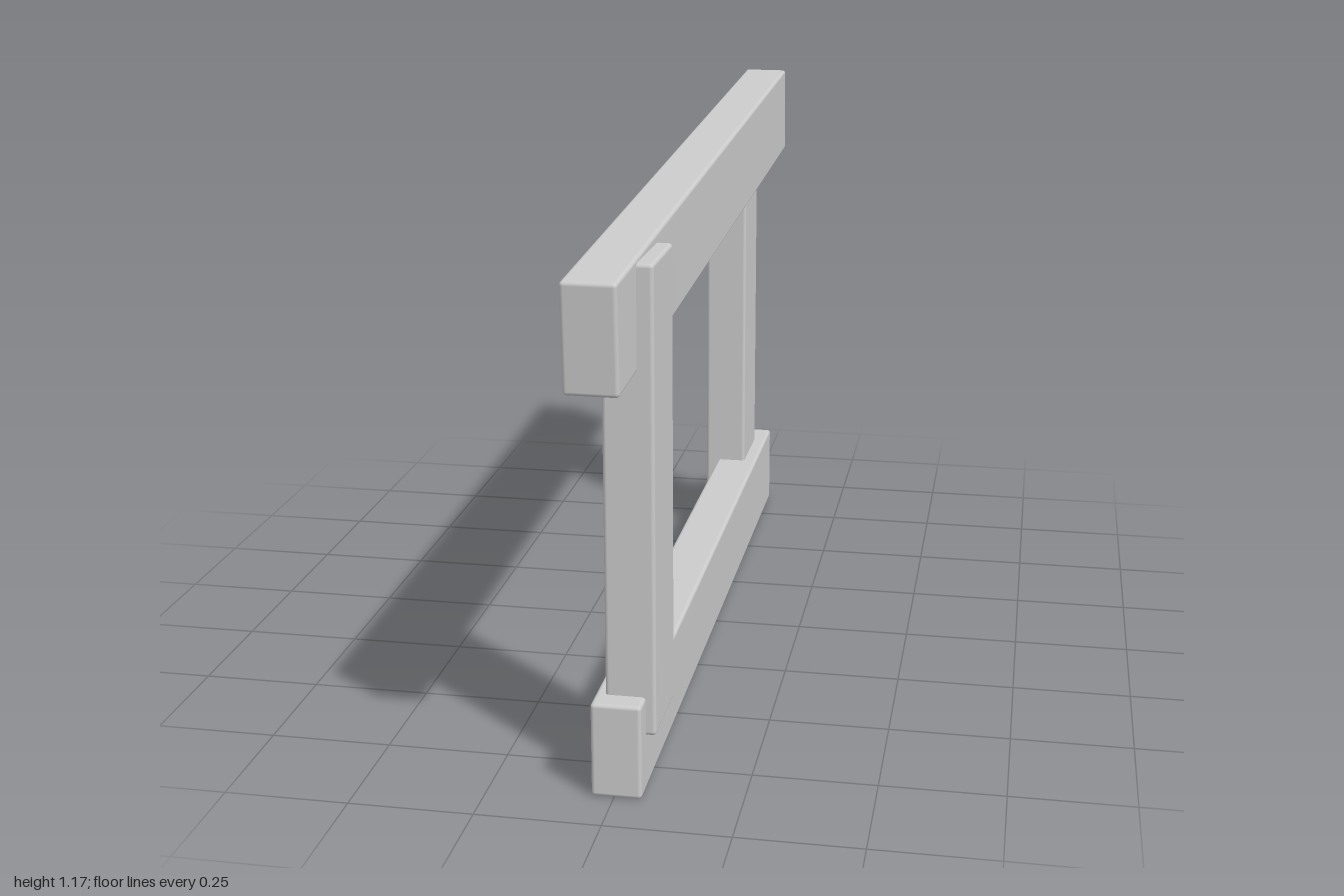
import * as THREE from 'three';
import { RoundedBoxGeometry } from 'three/addons/geometries/RoundedBoxGeometry.js';

export function createModel() {
  const group = new THREE.Group();
  const material = new THREE.MeshStandardMaterial({ color: 0xcccccc });

  // A sawn timber with slightly worn edges
  function beam(name, size, position, rotation = [0, 0, 0]) {
    const mesh = new THREE.Mesh(new RoundedBoxGeometry(...size, 2, 0.008), material);
    mesh.name = name;
    mesh.position.set(...position);
    mesh.rotation.set(...rotation);
    group.add(mesh);
  }

  // Rails: the lower one lies level, the upper one rises to the back and is a little askew
  beam('bottomRail', [0.1, 0.195, 1.78], [0.005, 0.0975, 0]);
  beam('topRail', [0.105, 0.213, 1.987], [0.004, 1.003, 0], [0.061, -0.016, 0]);

  // Posts: lapped over the rails on opposite sides
  for (const [name, side, z] of [['frontPost', 1, 0.747], ['backPost', -1, -0.707]]) {
    beam(name, [0.1, 0.936, 0.192], [side * 0.025, 0.582, z]);
  }

  return group;
}
